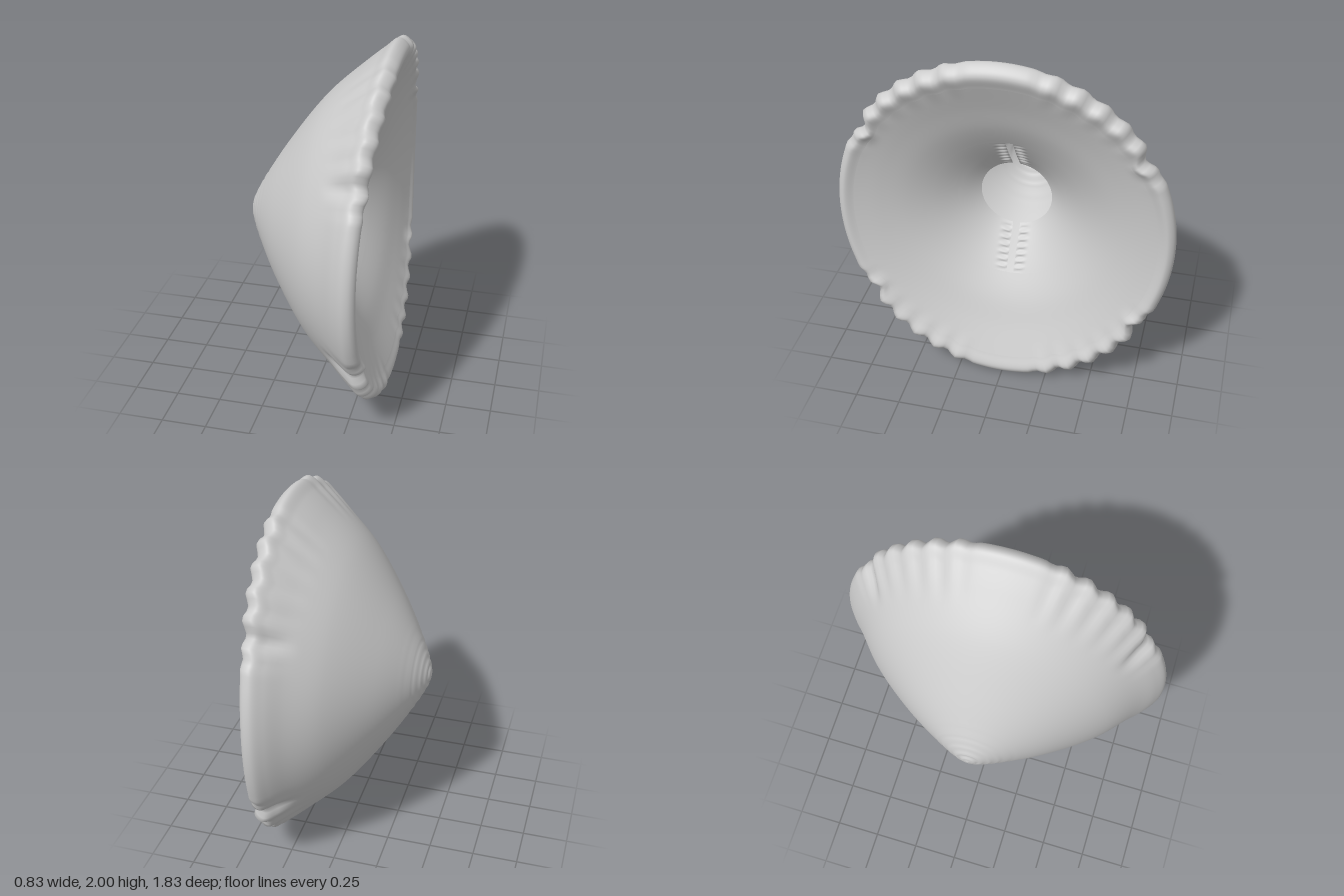
import * as THREE from 'three';
import { mergeVertices } from 'three/addons/utils/BufferGeometryUtils.js';

const SEG = 110; // steps around each half of the shell
const SLOT_HALF = 0.02, SLOT_END = 0.43;

const curve = (pts) => new THREE.CatmullRomCurve3(pts.map(([r, x]) => new THREE.Vector3(r, x, 0)), false, 'centripetal');

// Profiles as [radius, x]: "tall" runs up/down, "side" runs to the two z sides
const outerTall = curve([[0, -0.42], [0.07, -0.4], [0.2, -0.335], [0.42, -0.2], [0.69, 0], [0.87, 0.19], [0.95, 0.285], [1, 0.35], [0.975, 0.395], [0.94, 0.412], [0.87, 0.385]]);
const outerSide = curve([[0, -0.42], [0.07, -0.4], [0.2, -0.335], [0.42, -0.2], [0.67, 0], [0.81, 0.16], [0.88, 0.235], [0.915, 0.29], [0.91, 0.33], [0.88, 0.352], [0.83, 0.335]]);
const innerTall = curve([[0.87, 0.385], [0.72, 0.315], [0.56, 0.245], [0.43, 0.17], [0.3, 0.08], [0.2, 0]]);
const innerSide = curve([[0.83, 0.335], [0.7, 0.295], [0.56, 0.24], [0.43, 0.17], [0.3, 0.08], [0.2, 0]]);

const smooth = THREE.MathUtils.smoothstep;

// Point on a skin at curve parameter t and angle phi (0 = +z, 90 degrees = up)
function skinPoint(tall, side, t, phi) {
  const p = side.getPoint(t).lerp(tall.getPoint(t), Math.sin(phi) ** 2);
  let r = p.x, x = p.y;
  // scalloped rim, plain at the sides, top and bottom
  const a = Math.asin(Math.min(1, Math.abs(Math.sin(phi))));
  const rim = smooth(r, 0.78, 0.93);
  const lobes = smooth(a, 0.4, 0.55) * (1 - smooth(a, 1.25, 1.45));
  r += rim * lobes * (0.012 * Math.cos(a * 44) - 0.004);
  x += rim * lobes * 0.009 * Math.sin(a * 44 + 1);
  r -= rim * 0.035 * Math.exp(-(((a - 0.61) / 0.06) ** 2)); // notches
  return [x, r * Math.sin(phi) + 1, r * Math.cos(phi)];
}

// Rows of { t, gap(r) }: loft both halves, leaving the gap open at top and bottom
function loft(rows, point, gapAt) {
  const pos = [], idx = [];
  for (const turn of [0, Math.PI]) {
    const base = pos.length / 3;
    rows.forEach((row) => {
      const span = Math.PI / 2 - gapAt(row);
      for (let j = 0; j <= SEG; j++) pos.push(...point(row.t, turn + span * (2 * j / SEG - 1)));
    });
    for (let i = 0; i < rows.length - 1; i++) {
      for (let j = 0; j < SEG; j++) {
        const a = base + i * (SEG + 1) + j, b = a + SEG + 1;
        idx.push(a, b, a + 1, b, b + 1, a + 1);
      }
    }
  }
  let g = new THREE.BufferGeometry();
  g.setAttribute('position', new THREE.Float32BufferAttribute(pos, 3));
  g.setIndex(idx);
  g = mergeVertices(g, 1e-5);
  g.computeVertexNormals();
  return g;
}

export function createModel() {
  const group = new THREE.Group();
  const material = new THREE.MeshStandardMaterial({ color: 0xcccccc, roughness: 0.8, side: THREE.DoubleSide });
  const add = (geometry, name) => {
    const mesh = new THREE.Mesh(geometry, material);
    mesh.name = name;
    group.add(mesh);
  };

  // Outer cone with fine growth rings at the tip, rolled over at the rim
  const outerRows = Array.from({ length: 91 }, (_, i) => ({ t: i / 90 }));
  add(loft(outerRows, (t, phi) => {
    const p = skinPoint(outerTall, outerSide, t, phi);
    const r = Math.hypot(p[1] - 1, p[2]);
    p[0] += 0.003 * Math.sin(r * 150) * smooth(r, 0.01, 0.04) * (1 - smooth(r, 0.15, 0.3));
    return p;
  }, () => 0), 'outerShell');

  // Inner funnel with a round hole and a slot above and below it
  const slotStart = 0.6; // the profile passes radius SLOT_END here
  const innerRows = [];
  for (let i = 0; i <= 24; i++) innerRows.push({ t: slotStart * i / 24, open: false });
  for (let i = 0; i <= 40; i++) innerRows.push({ t: slotStart + (1 - slotStart) * i / 40, open: true });
  const radius = (t) => innerTall.getPoint(t).x;
  add(loft(innerRows, (t, phi) => {
    const p = skinPoint(innerTall, innerSide, t, phi);
    // short ripples beside the slots
    const r = radius(t), z = Math.abs(p[2]);
    const near = smooth(z, 0.02, 0.035) * (1 - smooth(z, 0.05, 0.09));
    p[0] += 0.006 * near * Math.sin(r * 190) * smooth(r, 0.2, 0.24) * (1 - smooth(r, 0.4, SLOT_END));
    return p;
  }, (row) => (row.open ? Math.asin(SLOT_HALF / radius(row.t)) : 0)), 'innerFunnel');

  return group;
}
